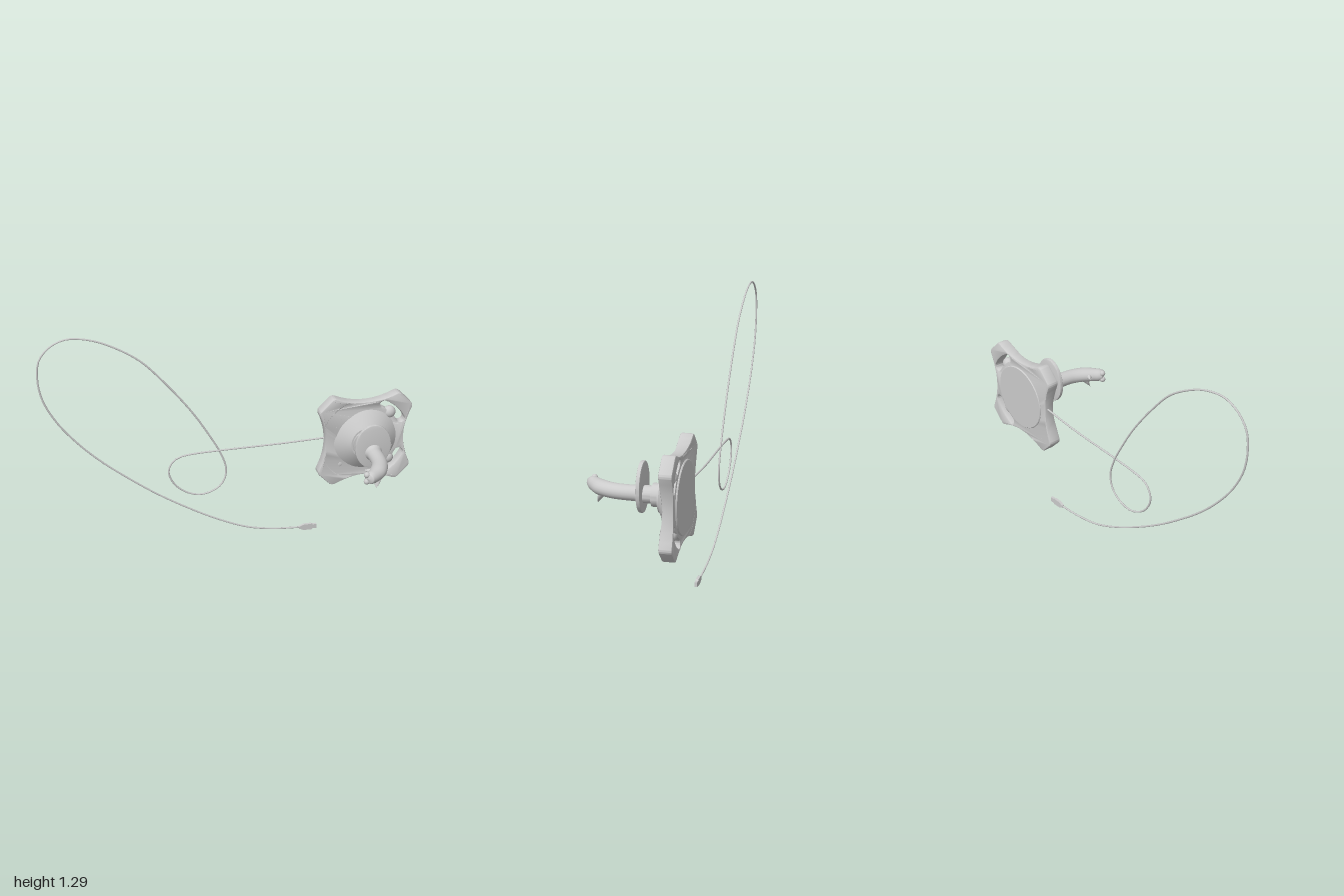
import * as THREE from 'three';
import { toCreasedNormals } from 'three/addons/utils/BufferGeometryUtils.js';

const material = new THREE.MeshStandardMaterial({ color: 0xcccccc, side: THREE.DoubleSide });
const CX = 0.74, CY = 0.563;

function add(group, name, geometry, x = 0, y = 0, z = 0) {
  const mesh = new THREE.Mesh(geometry, material);
  mesh.name = name;
  mesh.position.set(x, y, z);
  group.add(mesh);
  return mesh;
}

// Solid of revolution along z, from [radius, z] pairs listed back to front
function turned(profile) {
  const g = new THREE.LatheGeometry(profile.map(([r, z]) => new THREE.Vector2(r, z)), 48);
  return toCreasedNormals(g.rotateX(Math.PI / 2), 0.5);
}

// Tube of changing elliptical section: stations are [x, y, z, radiusAcross, radiusUp]
function sweptBody(stations, sides = 20, steps = 40) {
  const path = new THREE.CatmullRomCurve3(stations.map(s => new THREE.Vector3(s[0], s[1], s[2])));
  const size = new THREE.CatmullRomCurve3(stations.map(s => new THREE.Vector3(s[3], s[4], 0)));
  const up = new THREE.Vector3(0, 1, 0), pos = [], index = [];
  for (let i = 0; i <= steps; i++) {
    const p = path.getPoint(i / steps), r = size.getPoint(i / steps);
    const across = up.clone().cross(path.getTangent(i / steps)).normalize();
    for (let j = 0; j < sides; j++) {
      const a = j / sides * Math.PI * 2;
      const v = p.clone().addScaledVector(across, Math.cos(a) * r.x).addScaledVector(up, Math.sin(a) * r.y);
      pos.push(v.x, v.y, v.z);
      if (i < steps) {
        const k = (j + 1) % sides, b = i * sides, c = b + sides;
        index.push(b + j, b + k, c + j, b + k, c + k, c + j);
      }
    }
  }
  const g = new THREE.BufferGeometry();
  g.setAttribute('position', new THREE.Float32BufferAttribute(pos, 3));
  g.setIndex(index);
  g.computeVertexNormals();
  return g;
}

// Four-armed plate with curved slots, its arms swelling towards the front
function starPlate() {
  const shape = new THREE.Shape();
  const turn = (x, y, q) => {
    const a = q * Math.PI / 2;
    return [x * Math.cos(a) - y * Math.sin(a), x * Math.sin(a) + y * Math.cos(a)];
  };
  shape.moveTo(0.248, -0.165);
  for (let q = 0; q < 4; q++) {
    shape.bezierCurveTo(...turn(0.2, -0.06, q), ...turn(0.2, 0.06, q), ...turn(0.248, 0.165, q));
    shape.quadraticCurveTo(...turn(0.255, 0.18, q), ...turn(0.245, 0.19, q));
    shape.lineTo(...turn(0.19, 0.245, q));
    shape.quadraticCurveTo(...turn(0.18, 0.255, q), ...turn(0.165, 0.248, q));
  }
  for (let q = 0; q < 4; q++) {
    const a = Math.PI / 4 + q * Math.PI / 2, s = 0.31, mid = 0.222, w = 0.03;
    const slot = new THREE.Path();
    slot.absarc(0, 0, mid + w, a - s, a + s, false);
    slot.absarc(mid * Math.cos(a + s), mid * Math.sin(a + s), w, a + s, a + s + Math.PI, false);
    slot.absarc(0, 0, mid - w, a + s, a - s, true);
    slot.absarc(mid * Math.cos(a - s), mid * Math.sin(a - s), w, a - s + Math.PI, a - s + 2 * Math.PI, false);
    shape.holes.push(slot);
  }
  const g = new THREE.ExtrudeGeometry(shape, {
    depth: 0.03, bevelThickness: 0.008, bevelSize: 0.008, bevelSegments: 2, curveSegments: 14,
  });
  const p = g.attributes.position;
  for (let i = 0; i < p.count; i++) {
    const rise = THREE.MathUtils.smoothstep(Math.hypot(p.getX(i), p.getY(i)), 0.17, 0.27);
    if (p.getZ(i) > 0.015) p.setZ(i, p.getZ(i) + 0.016 * rise);
    else p.setZ(i, p.getZ(i) - 0.004 * rise);
  }
  return toCreasedNormals(g, 0.6);
}

function createBase() {
  const base = new THREE.Group();
  base.name = 'base';
  base.position.set(CX, CY, 0);
  add(base, 'starPlate', starPlate(), 0, 0, -0.243);
  add(base, 'backDisc', turned([[0, -0.259], [0.177, -0.259], [0.181, -0.255], [0.181, -0.22], [0, -0.22]]));
  add(base, 'coneCover', turned([
    [0.181, -0.235], [0.181, -0.206], [0.172, -0.198], [0.092, -0.147], [0.083, -0.147], [0.083, -0.138],
    [0.057, -0.138], [0.057, -0.1], [0.043, -0.1], [0.043, -0.05], [0, -0.05],
  ]));
  // Rounded pegs inside the slots
  for (let q = 0; q < 4; q++) {
    const a = Math.PI / 4 + q * Math.PI / 2;
    const peg = add(base, 'peg', new THREE.SphereGeometry(0.035, 20, 14),
      0.196 * Math.cos(a), 0.196 * Math.sin(a), -0.222);
    peg.scale.z = 0.85;
  }
  // Small curved switch on the cone
  const marker = add(base, 'curvedSwitch', new THREE.TorusGeometry(0.149, 0.009, 8, 16, 0.5), 0, 0, -0.183);
  marker.rotation.z = -0.78;
  return base;
}

function createHandle() {
  const handle = new THREE.Group();
  handle.name = 'handle';

  // Upright oval flange
  const oval = new THREE.Shape();
  oval.absellipse(0, 0, 0.094, 0.122, 0, Math.PI * 2);
  const flange = new THREE.ExtrudeGeometry(oval, {
    depth: 0.01, bevelThickness: 0.005, bevelSize: 0.005, bevelSegments: 2, curveSegments: 40,
  });
  add(handle, 'flange', toCreasedNormals(flange, 0.5), 0.735, 0.597, -0.052);

  // Curved grip ending in a narrowed, tilted head
  add(handle, 'grip', sweptBody([
    [0.737, CY, -0.05, 0.052, 0.052], [0.737, CY, -0.015, 0.041, 0.039], [0.737, CY, 0.04, 0.041, 0.038],
    [0.728, CY, 0.1, 0.042, 0.038], [0.7, CY, 0.162, 0.044, 0.038], [0.664, 0.562, 0.203, 0.037, 0.036],
    [0.643, 0.563, 0.222, 0.033, 0.034], [0.628, 0.564, 0.236, 0.027, 0.027], [0.622, 0.565, 0.241, 0.001, 0.001],
  ]));
  // Lower spur and side fin
  add(handle, 'lowerSpur', sweptBody([
    [0.70, 0.555, 0.145, 0.026, 0.03], [0.693, 0.53, 0.168, 0.024, 0.026],
    [0.688, 0.505, 0.181, 0.014, 0.014], [0.684, 0.482, 0.188, 0.002, 0.002],
  ], 14, 16));
  add(handle, 'sideFin', sweptBody([
    [0.69, 0.565, 0.175, 0.024, 0.022], [0.66, 0.566, 0.162, 0.015, 0.016], [0.632, 0.567, 0.146, 0.003, 0.004],
  ], 12, 12));
  // Two small rounded bumps on the head
  for (const y of [0.545, 0.583]) add(handle, 'headBump', new THREE.SphereGeometry(0.016, 14, 10), 0.618, y, 0.224);
  return handle;
}

function createCable() {
  const cable = new THREE.Group();
  cable.name = 'cable';
  const route = [
    [0.58, 0.58], [0.5, 0.577], [0.28, 0.567], [-0.06, 0.562], [-0.21, 0.556], [-0.275, 0.545], [-0.313, 0.519],
    [-0.334, 0.465], [-0.313, 0.4], [-0.26, 0.342], [-0.174, 0.305], [-0.088, 0.321], [-0.035, 0.369],
    [-0.019, 0.444], [-0.05, 0.545], [-0.11, 0.658], [-0.206, 0.813], [-0.35, 1.0], [-0.468, 1.128],
    [-0.586, 1.209], [-0.698, 1.262], [-0.794, 1.284], [-0.848, 1.283], [-0.922, 1.251], [-0.98, 1.182],
    [-0.994, 1.08], [-0.976, 0.963], [-0.912, 0.829], [-0.816, 0.701], [-0.698, 0.578], [-0.553, 0.455],
    [-0.398, 0.337], [-0.233, 0.23], [-0.072, 0.139], [0.099, 0.064], [0.249, 0.032], [0.41, 0.019],
  ];
  const curve = new THREE.CatmullRomCurve3(route.map(([x, y], i) =>
    new THREE.Vector3(x, y, [-0.23, -0.235, -0.244, -0.25][i] ?? -0.253)), false, 'centripetal');
  add(cable, 'cord', new THREE.TubeGeometry(curve, 160, 0.005, 8));

  // Plug with a tapered body and a narrower tip
  const plug = new THREE.Shape([
    [0.395, 0.013], [0.42, 0.002], [0.465, 0], [0.473, 0.006], [0.495, 0.006],
    [0.495, 0.031], [0.473, 0.031], [0.465, 0.036], [0.42, 0.036], [0.395, 0.026],
  ].map(([x, y]) => new THREE.Vector2(x, y)));
  add(cable, 'plug', new THREE.ExtrudeGeometry(plug, { depth: 0.014, bevelEnabled: false }), 0, 0, -0.259);
  return cable;
}

export function createModel() {
  const model = new THREE.Group();
  model.name = 'wallMountWithCable';
  model.add(createBase(), createHandle(), createCable());
  return model;
}
